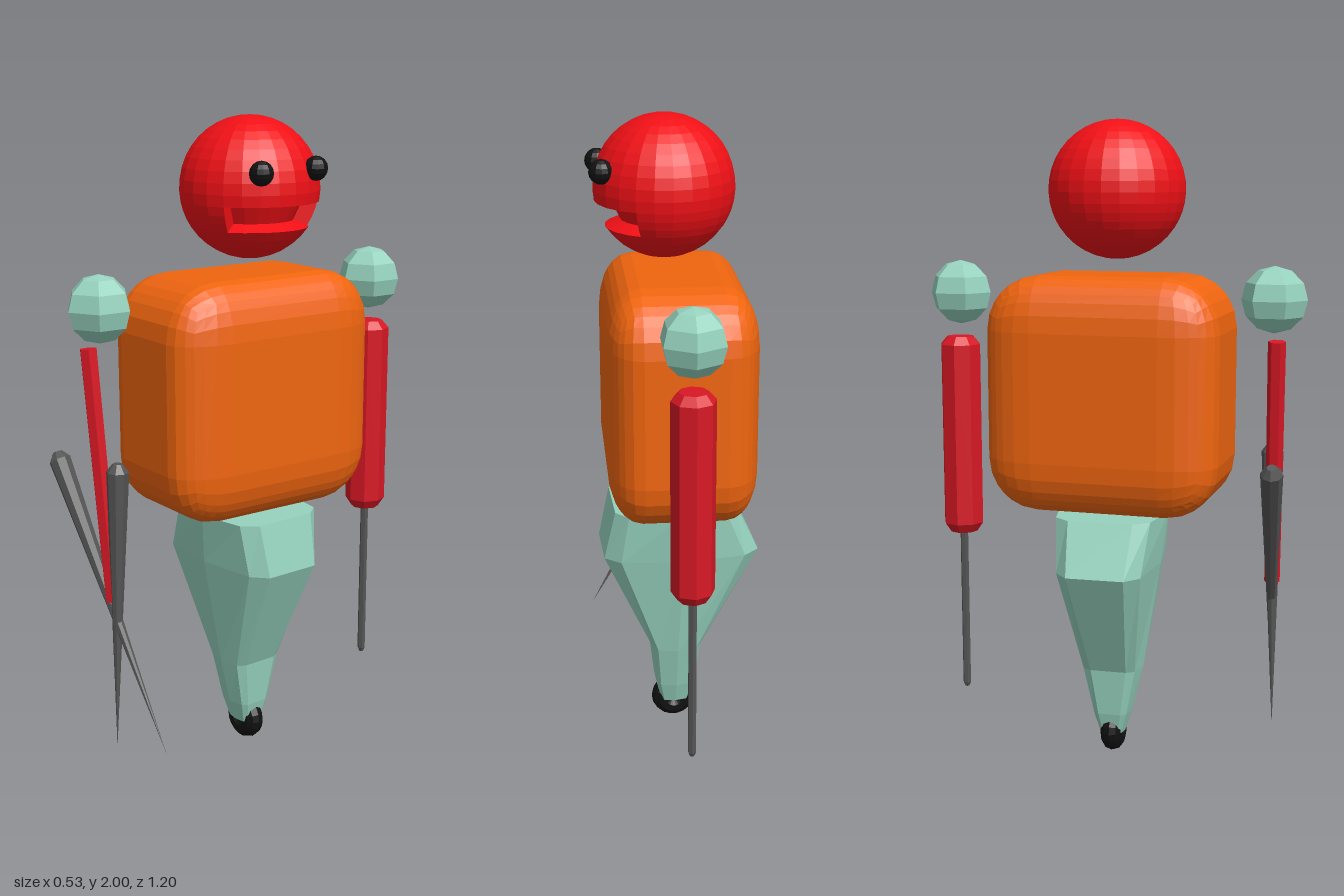
import * as THREE from 'three';
import { RoundedBoxGeometry } from 'three/addons/geometries/RoundedBoxGeometry.js';

const mat = (color) => new THREE.MeshStandardMaterial({ color, flatShading: true, side: THREE.DoubleSide });
const RED = mat(0xf01016), ARM_RED = mat(0xd81824), ORANGE = mat(0xf0650f);
const MINT = mat(0x96d2be), GREY = mat(0x555555), BLACK = mat(0x111111);

function add(parent, name, geometry, material, x = 0, y = 0, z = 0) {
  const mesh = new THREE.Mesh(geometry, material);
  mesh.name = name;
  mesh.position.set(x, y, z);
  parent.add(mesh);
  return mesh;
}

// Lathe from [radius, y] pairs listed bottom to top
const lathe = (pts, sides, start = 0, length = Math.PI * 2) =>
  new THREE.LatheGeometry(pts.map(([r, y]) => new THREE.Vector2(r, y)), sides, start, length);

// Places a lathe whose y = 0 is at "from" so its axis points at "to"
function aim(mesh, from, to) {
  const dir = new THREE.Vector3(...to).sub(new THREE.Vector3(...from)).normalize();
  mesh.position.set(...from);
  mesh.quaternion.setFromUnitVectors(new THREE.Vector3(0, 1, 0), dir);
}

// Lofts elongated ten-sided rings: [y, centreX, halfX, halfZ]
function loftLeg(levels) {
  const ring = [[1, 0.58], [0.8, 0.85], [0, 1], [-0.8, 0.85], [-1, 0.58],
    [-1, -0.58], [-0.8, -0.85], [0, -1], [0.8, -0.85], [1, -0.58]];
  const n = ring.length, pos = [], idx = [];
  for (const [y, cx, hx, hz] of levels) for (const [u, v] of ring) pos.push(cx + u * hx, y, v * hz);
  for (let l = 0; l < levels.length - 1; l++) {
    for (let i = 0; i < n; i++) {
      const a = l * n + i, b = l * n + (i + 1) % n;
      idx.push(a, a + n, b, b, a + n, b + n);
    }
  }
  const top = (levels.length - 1) * n;
  for (let i = 1; i < n - 1; i++) {
    idx.push(0, i, i + 1);
    idx.push(top, top + i + 1, top + i);
  }
  const g = new THREE.BufferGeometry();
  g.setAttribute('position', new THREE.Float32BufferAttribute(pos, 3));
  g.setIndex(idx);
  g.computeVertexNormals();
  return g;
}

function makeHead() {
  const head = new THREE.Group();
  head.name = 'head';
  head.position.set(0.04, 1.795, 0.005);
  const R = 0.21, mouthTop = -0.04, mouthLow = -0.115, half = Math.PI / 3;
  const arc = (y0, y1, steps) => Array.from({ length: steps + 1 }, (_, i) => {
    const a0 = Math.asin(y0 / R), a1 = Math.asin(y1 / R), a = a0 + (a1 - a0) * i / steps;
    return [R * Math.cos(a), R * Math.sin(a)];
  });
  // Skull, chin and the band behind the mouth
  add(head, 'skull', lathe(arc(mouthTop, R, 11), 24), RED);
  add(head, 'chin', lathe(arc(-R, mouthLow, 6), 24), RED);
  add(head, 'cheeks', lathe(arc(mouthLow, mouthTop, 3), 16, Math.PI / 2 + half, 2 * Math.PI - 2 * half), RED);
  // Recessed mouth facing +x
  const band = arc(mouthLow, mouthTop, 3), low = band[0], high = band[3];
  const notch = [low, [0.13, -0.095], [0.155, mouthTop], high];
  add(head, 'mouth', lathe(notch, 8, Math.PI / 2 - half, 2 * half), RED);
  for (const s of [-1, 1]) {
    const wall = new THREE.Shape([...notch, ...band.slice(1, 3).reverse()].map(([x, y]) => new THREE.Vector2(x, y)));
    add(head, 'mouthCorner', new THREE.ShapeGeometry(wall), RED).rotation.y = s * half;
  }
  // Eyes
  add(head, 'rightEye', new THREE.SphereGeometry(0.036, 12, 8), BLACK, 0.187, 0.057, 0.109);
  add(head, 'leftEye', new THREE.SphereGeometry(0.036, 12, 8), BLACK, 0.193, 0.062, -0.09);
  return head;
}

export function createModel() {
  const model = new THREE.Group();
  model.name = 'robot';
  model.add(makeHead());

  // Torso, turned slightly about the vertical
  const torso = add(model, 'torso', new RoundedBoxGeometry(0.725, 0.725, 0.725, 3, 0.165), ORANGE, 0.005, 1.178, 0);
  torso.scale.set(0.62, 1, 1);
  torso.rotation.y = -0.05;

  // Tapered leg and the wheel under it
  add(model, 'leg', loftLeg([
    [0.07, 0.012, 0.045, 0.04], [0.14, 0.012, 0.062, 0.062], [0.29, 0.012, 0.078, 0.098],
    [0.64, 0, 0.245, 0.155], [0.8, 0.02, 0.19, 0.175],
  ]), MINT);
  add(model, 'wheel', new THREE.TorusGeometry(0.038, 0.034, 10, 18), BLACK, 0.015, 0.072, 0);

  // Shoulder balls
  for (const s of [-1, 1]) {
    const ball = add(model, s > 0 ? 'rightShoulder' : 'leftShoulder',
      new THREE.SphereGeometry(0.1, 6, 6), MINT, -0.03 * s, 1.475, 0.5 * s);
    ball.rotation.y = Math.PI / 6 - 0.05;
  }

  // Thin arm on the +z side
  const thin = add(model, 'thinArm', lathe([[0, 0], [0.024, 0], [0.027, 0.76], [0, 0.76]], 6), ARM_RED);
  aim(thin, [0.012, 0.6, 0.505], [-0.07, 1.355, 0.515]);

  // Pair of tapering blades crossing at the end of the thin arm
  const blades = [
    [[0.24, 0.18, 0.482], [-0.24, 1.01, 0.528]],
    [[0.025, 0.125, 0.512], [0.038, 1.03, 0.495]],
  ];
  for (const [tip, butt] of blades) {
    const len = new THREE.Vector3(...tip).distanceTo(new THREE.Vector3(...butt));
    const blade = add(model, 'blade',
      lathe([[0, 0], [0.034, len - 0.025], [0.015, len], [0, len]], 8), GREY);
    aim(blade, tip, butt);
  }

  // Handle-shaped arm with a slim shaft on the -z side
  add(model, 'handleArm', lathe([[0, 0.7], [0.045, 0.7], [0.065, 0.73], [0.065, 1.31], [0.043, 1.335], [0, 1.335]], 8),
    ARM_RED, 0.03, 0, -0.505);
  add(model, 'shaft', lathe([[0, 0.165], [0.007, 0.167], [0.013, 0.18], [0.013, 0.72]], 6), GREY, 0.03, 0, -0.505);

  return model;
}
